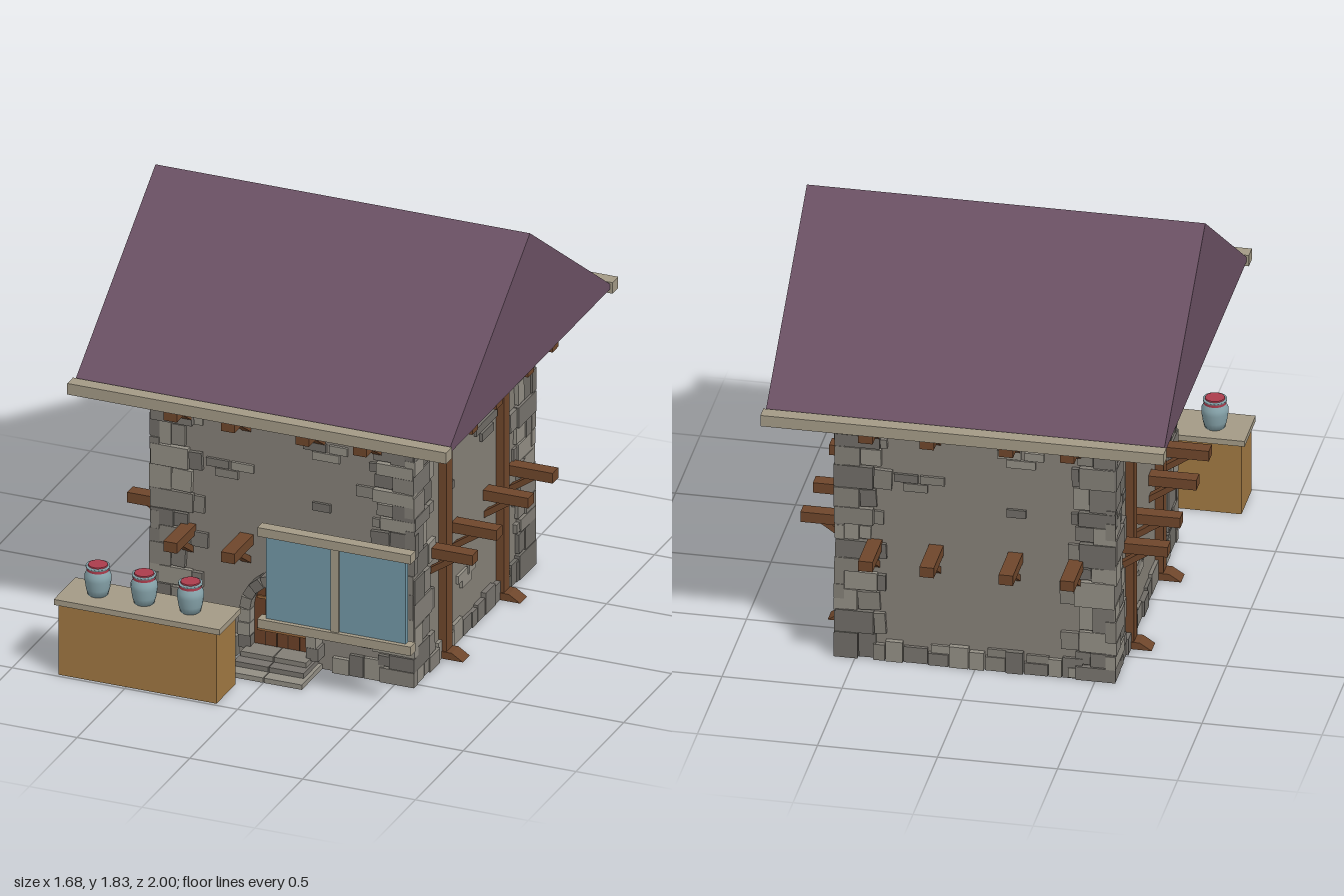
import * as THREE from 'three';

const mat = (color, side = THREE.FrontSide) => new THREE.MeshStandardMaterial({ color, side });
const M = {
  wall: mat(0x858077, THREE.DoubleSide), roof: mat(0x6a5063), trim: mat(0xa39a86),
  wood: mat(0x6e462b), door: mat(0x6b4128), dark: mat(0x3f2a1c), strap: mat(0x94643a),
  iron: mat(0x45454a), counter: mat(0xa07842, THREE.DoubleSide), glass: mat(0x7297a6),
  jar: mat(0x86a3aa), lid: mat(0xab3c4c),
};
const stones = [0x928e84, 0x77736d, 0x827e76, 0x6f6c66].map((c) => mat(c));

let seed = 7;
const rnd = (a = 0, b = 1) => {
  seed = (seed * 16807) % 2147483647;
  return a + (b - a) * (seed / 2147483647);
};
const stoneMat = () => stones[Math.floor(rnd(0, 3.99))];

function add(parent, name, geo, material, x = 0, y = 0, z = 0) {
  const m = new THREE.Mesh(geo, material);
  m.name = name;
  m.position.set(x, y, z);
  parent.add(m);
  return m;
}
// Box given by its limits on each axis
function box(parent, name, material, x0, x1, y0, y1, z0, z1) {
  return add(parent, name, new THREE.BoxGeometry(Math.abs(x1 - x0), y1 - y0, z1 - z0), material,
    (x0 + x1) / 2, (y0 + y1) / 2, (z0 + z1) / 2);
}
function group(parent, name) {
  const g = new THREE.Group();
  g.name = name;
  parent.add(g);
  return g;
}
function extrude(points, depth) {
  const s = new THREE.Shape(points.map(([x, y]) => new THREE.Vector2(x, y)));
  return new THREE.ExtrudeGeometry(s, { depth, bevelEnabled: false });
}

const CZ = -0.1, BEAMS = [-0.42, -0.165, 0.165, 0.42];

// Projecting beam with a diagonal brace below it
function bracket(parent, u, y, d) {
  const g = group(parent, 'supportBeam');
  box(g, 'beam', M.wood, u - 0.03, u + 0.03, y - 0.023, y + 0.023, d - 0.03, d + 0.2);
  const brace = add(g, 'brace', new THREE.BoxGeometry(0.04, 0.025, 0.15), M.wood, u, y - 0.055, d + 0.055);
  brace.rotation.x = -0.6;
}

// Irregular stones stacked up both edges of a wall, in stepped courses
function quoins(parent, half, d) {
  for (const s of [-1, 1]) {
    let y = 0, long = s > 0;
    while (y < 1.14) {
      const top = Math.min(1.15, y + rnd(0.055, 0.12));
      const edge = half + rnd(0.015, 0.025);
      const w1 = long ? rnd(0.13, 0.17) : rnd(0.07, 0.09);
      const w2 = w1 + (long ? rnd(0.03, 0.08) : rnd(0.05, 0.1));
      box(parent, 'cornerStone', stoneMat(), s * edge, s * (half - w1), y, top - 0.003, d - 0.02, d + rnd(0.016, 0.026));
      const inner = box(parent, 'innerStone', stoneMat(), s * (half - w1 - 0.003), s * (half - w2),
        y + 0.005, top - rnd(0.004, 0.015), d - 0.02, d + rnd(0.01, 0.02));
      inner.rotation.z = rnd(-0.06, 0.06);
      y = top;
      long = !long;
    }
  }
}

// Row of foundation stones, leaving a gap for the doorway where needed
function baseStones(parent, half, d, gap) {
  for (let u = -half + 0.14; u < half - 0.16;) {
    const w = rnd(0.05, 0.11), h = rnd(0.05, 0.1);
    if (Math.abs(u + w / 2) > gap) {
      box(parent, 'baseStone', stoneMat(), u, u + w - 0.004, 0, h, d - 0.02, d + rnd(0.012, 0.025));
      if (h < 0.065) box(parent, 'baseStone', stoneMat(), u + 0.01, u + w, h, h + 0.035, d - 0.02, d + 0.012);
    }
    u += w;
  }
}

// One wall facing local +z: u across, y up, d out from the middle
const WALL_BRICKS = [[0.14, 1.005, 0.1], [0.245, 1.005, 0.08], [0.19, 0.965, 0.12], [-0.29, 0.85, 0.1],
  [-0.18, 0.85, 0.1], [-0.25, 0.81, 0.1], [0.17, 0.735, 0.08]];
const SIDE_BRICKS = [[-0.2, 1.0, 0.11], [-0.215, 0.96, 0.08], [0.1, 0.855, 0.12], [0.2, 0.855, 0.11],
  [0.16, 0.805, 0.12], [-0.23, 0.73, 0.07], [-0.1, 0.27, 0.1], [0.0, 0.27, 0.07], [-0.06, 0.235, 0.1]];
function wall(parent, name, turn, half, d, isSide, gap) {
  const g = group(parent, name);
  g.position.z = CZ;
  g.rotation.y = turn * Math.PI / 2;
  add(g, 'wallFace', new THREE.PlaneGeometry(half * 2, 1.17), M.wall, 0, 0.585, d);
  quoins(g, half, d);
  baseStones(g, half, d, gap);
  for (const [u, y, w] of isSide ? SIDE_BRICKS : WALL_BRICKS)
    box(g, 'wallBrick', stoneMat(), u - w / 2, u + w / 2, y - 0.018, y + 0.018, d - 0.015, d + 0.012);
  for (const u of BEAMS) for (const y of [0.528, 1.122]) bracket(g, u, y, d);
  if (!isSide) return;
  for (const u of [-0.3, 0.3]) {
    box(g, 'post', M.wood, u - 0.03, u + 0.03, 0, 1.16, d - 0.03, d + 0.035);
    const foot = add(g, 'postFoot', extrude([[0, 0], [0.11, 0], [0.06, 0.032], [0, 0.032]], 0.072), M.wood, u + 0.036, 0, d);
    foot.rotation.y = -Math.PI / 2;
  }
}

function doorway(parent) {
  const g = group(parent, 'doorway');
  g.position.z = CZ + 0.615;
  const R = 0.125, spring = 0.24;
  const arch = new THREE.Shape();
  arch.moveTo(-R, 0.06);
  arch.lineTo(R, 0.06);
  arch.lineTo(R, spring);
  arch.absarc(0, spring, R, 0, Math.PI, false);
  add(g, 'door', new THREE.ExtrudeGeometry(arch, { depth: 0.03, bevelEnabled: false }), M.door, 0, 0, -0.015);
  for (const u of [-0.075, -0.025, 0.025, 0.075])
    box(g, 'plankGap', M.dark, u - 0.002, u + 0.002, 0.07, spring + Math.sqrt(R * R - u * u), 0, 0.017);
  for (const y of [0.14, 0.285]) box(g, 'hingeStrap', M.strap, -0.11, 0.11, y - 0.006, y + 0.006, 0, 0.022);
  add(g, 'doorRing', new THREE.TorusGeometry(0.022, 0.005, 6, 16), M.iron, 0, 0.235, 0.024);
  add(g, 'ringPlate', new THREE.SphereGeometry(0.012, 10, 8), M.iron, 0, 0.258, 0.02);
  // Jambs and arch stones
  for (const s of [-1, 1]) for (let i = 0; i < 3; i++)
    box(g, 'jambStone', stoneMat(), s * R, s * (R + rnd(0.045, 0.065)), 0.06 + i * 0.06, 0.117 + i * 0.06, -0.03, rnd(0.055, 0.07));
  for (let i = 0; i < 9; i++) {
    const a = (i + 0.5) * Math.PI / 9, r = R + 0.022;
    const v = add(g, 'archStone', new THREE.BoxGeometry(0.046, 0.05, 0.1), stoneMat(),
      Math.cos(a) * r, spring + Math.sin(a) * r, rnd(0.008, 0.02));
    v.rotation.z = a;
  }
  // Steps
  [[0.17, 0.215], [0.155, 0.16], [0.145, 0.11]].forEach(([w, out], i) => {
    for (const s of [-1, 1])
      box(g, 'step', stones[i], s * 0.002, s * w, i * 0.024, (i + 1) * 0.024 - 0.002, -0.02, out);
  });
}

// Lidded storage jar standing at the given point
function jar(parent, x, y, z, s = 1) {
  const g = group(parent, 'jar');
  g.position.set(x, y, z);
  g.scale.setScalar(s);
  const profile = [[0, 0], [0.042, 0], [0.05, 0.03], [0.056, 0.07], [0.055, 0.09], [0.045, 0.108], [0.04, 0.114], [0.05, 0.122], [0.05, 0.13], [0, 0.13]];
  add(g, 'jarBody', new THREE.LatheGeometry(profile.map((p) => new THREE.Vector2(...p)), 20), M.jar);
  add(g, 'jarBand', new THREE.CylinderGeometry(0.047, 0.047, 0.012, 20), M.lid, 0, 0.115, 0);
  add(g, 'jarLid', new THREE.CylinderGeometry(0.04, 0.042, 0.006, 20), M.lid, 0, 0.132, 0);
}

export function createModel() {
  const model = new THREE.Group();
  model.name = 'stoneShop';

  // Walls
  wall(model, 'frontWall', 0, 0.565, 0.615, false, 0.19);
  wall(model, 'leftWall', 1, 0.615, 0.565, true, 0);
  wall(model, 'backWall', 2, 0.565, 0.615, false, 0);
  wall(model, 'rightWall', 3, 0.615, 0.565, true, 0);
  doorway(model);

  // Roof with eave boards on a timber plate
  const roof = group(model, 'roof');
  box(roof, 'topPlate', M.wood, -0.61, 0.61, 1.15, 1.2, -0.77, 0.58);
  const gable = add(roof, 'roofSlopes', extrude([[-0.87, 1.2], [0.87, 1.2], [0, 1.825]], 1.66), M.roof, -0.83, 0, CZ);
  gable.rotation.y = Math.PI / 2;
  for (const s of [-1, 1])
    box(roof, 'eaveBoard', M.trim, -0.84, 0.84, 1.18, 1.23, CZ + s * 0.87 - 0.03, CZ + s * 0.87 + 0.03);

  // Two-pane display in front of the wall
  const win = group(model, 'displayWindow');
  for (const [y0, y1] of [[0.265, 0.305], [0.68, 0.72]]) box(win, 'rail', M.trim, -0.01, 0.67, y0, y1, 0.72, 0.77);
  box(win, 'mullion', M.trim, 0.312, 0.346, 0.305, 0.68, 0.728, 0.762);
  for (const x of [0.02, 0.346]) box(win, 'pane', M.glass, x, x + 0.293, 0.305, 0.672, 0.725, 0.75);
  jar(model, 0.5, 0.31, 0.685, 0.85);

  // Counter, hollow underneath
  const counter = group(model, 'counter');
  for (const z of [0.785, 0.975]) box(counter, 'longPanel', M.counter, -0.8, -0.1, 0, 0.322, z, z + 0.01);
  for (const x of [-0.8, -0.11]) box(counter, 'endPanel', M.counter, x, x + 0.01, 0, 0.322, 0.795, 0.975);
  box(counter, 'counterTop', M.trim, -0.815, -0.08, 0.32, 0.345, 0.775, 1);
  for (const x of [-0.67, -0.465, -0.26]) jar(counter, x, 0.345, 0.88);

  return model;
}
